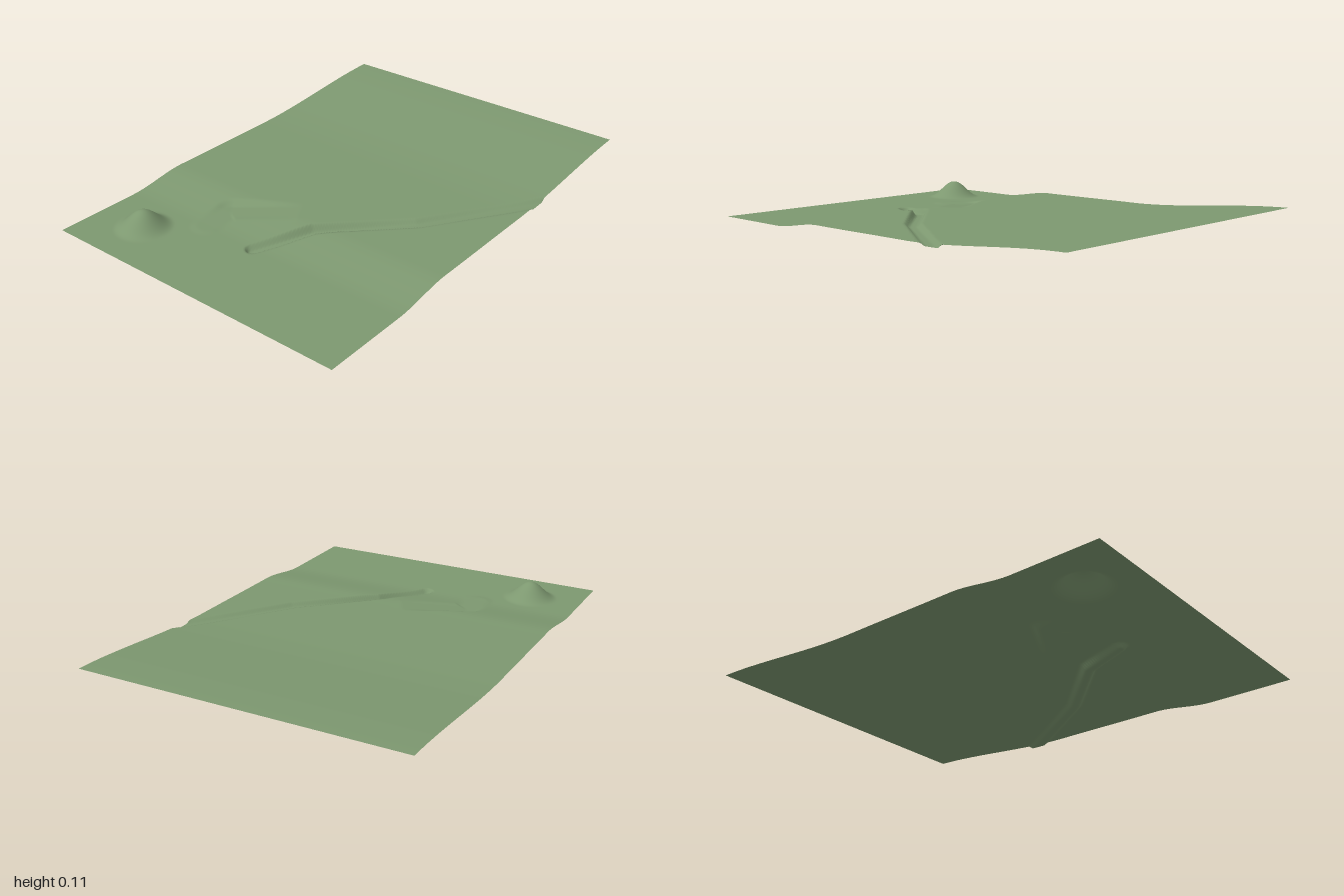
import * as THREE from 'three';

const { smoothstep, lerp, clamp } = THREE.MathUtils;

// Ditch centre line: x, z, floor height, half width
const DITCH = [
  [-0.615, -0.012, 0.0, 0.024],
  [-0.38, 0.11, 0.021, 0.026],
  [-0.085, 0.415, 0.036, 0.026],
  [0.355, 0.72, 0.046, 0.027],
  [0.5, 0.82, 0.05, 0.027],
];
// Graded track from the upper terrace down to the pad: x, z, height
const TRACK = [
  [-0.32, -0.02, 0.052],
  [-0.47, -0.28, 0.026],
  [-0.6, -0.28, 0.023],
];

// Closest point on a path: distance and interpolated values
function nearest(path, x, z) {
  let best = { d: Infinity };
  for (let i = 0; i < path.length - 1; i++) {
    const a = path[i], b = path[i + 1];
    const dx = b[0] - a[0], dz = b[1] - a[1];
    const t = clamp(((x - a[0]) * dx + (z - a[1]) * dz) / (dx * dx + dz * dz), 0, 1);
    const d = Math.hypot(x - a[0] - t * dx, z - a[1] - t * dz);
    if (d < best.d) best = { d, y: lerp(a[2], b[2], t), w: lerp(a[3] ?? 0, b[3] ?? 0, t) };
  }
  return best;
}

function heightAt(x, z) {
  // Terraces stepping up towards +x
  let y = 0.02 + 0.032 * smoothstep(x, -0.62, -0.33) + 0.002 * smoothstep(x, -0.3, 0.2)
    + 0.054 * smoothstep(x, 0.2, 1.04);

  // Shallow track and pad cut into the first slope
  const track = nearest(TRACK, x, z);
  y = lerp(y, Math.min(track.y, y + 0.003), 1 - smoothstep(track.d, 0.04, 0.08));

  // Bell-shaped mound
  const r = Math.hypot(x + 0.77, z + 0.48) / 0.128;
  if (r < 1) y += 0.078 * (0.5 + 0.5 * Math.cos(Math.PI * r));

  // Steep-sided ditch
  const ditch = nearest(DITCH, x, z);
  return lerp(y, Math.min(y, ditch.y), 1 - smoothstep(ditch.d, ditch.w - 0.008, ditch.w + 0.008));
}

export function createModel() {
  const group = new THREE.Group();
  group.name = 'landscape';

  const geometry = new THREE.PlaneGeometry(2, 1.44, 250, 180).rotateX(-Math.PI / 2);
  const p = geometry.attributes.position;
  for (let i = 0; i < p.count; i++) p.setY(i, heightAt(p.getX(i), p.getZ(i)));
  geometry.computeVertexNormals();

  const terrain = new THREE.Mesh(
    geometry,
    new THREE.MeshStandardMaterial({ color: 0x7d9870, side: THREE.DoubleSide }),
  );
  terrain.name = 'terrain';
  group.add(terrain);
  return group;
}
